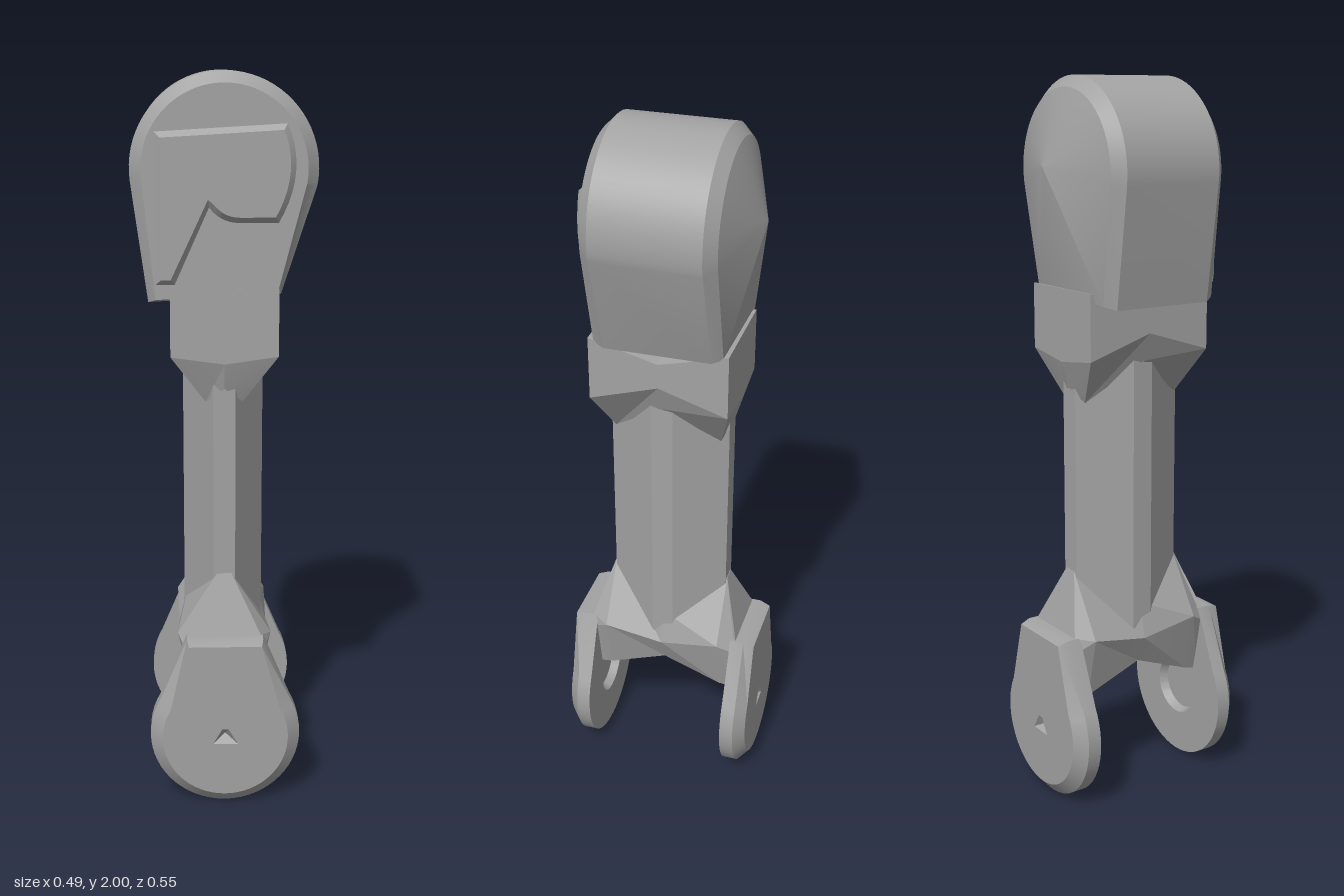
import * as THREE from 'three';
import { toCreasedNormals } from 'three/addons/utils/BufferGeometryUtils.js';

const metal = new THREE.MeshStandardMaterial({ color: 0xa3a3a3 });
metal.name = 'grey metal';

// Joins equal-sized rings of points and closes both ends onto an apex point.
function loft(rings, startApex, endApex, crease = 0.5) {
  const pos = [];
  const tri = (a, b, c) => pos.push(...a, ...b, ...c);
  const n = rings[0].length;
  for (let i = 0; i < n; i++) {
    const j = (i + 1) % n;
    for (let k = 0; k < rings.length - 1; k++) {
      const a = rings[k], b = rings[k + 1];
      tri(a[i], a[j], b[j]);
      tri(a[i], b[j], b[i]);
    }
    const last = rings[rings.length - 1];
    tri(startApex, rings[0][j], rings[0][i]);
    tri(endApex, last[i], last[j]);
  }
  const g = new THREE.BufferGeometry();
  g.setAttribute('position', new THREE.Float32BufferAttribute(pos, 3));
  return toCreasedNormals(g, crease);
}

// Arc (degrees, counter-clockwise) followed by extra corner points, at depth z.
function outline(cy, r, from, to, corners, z) {
  const pts = [];
  for (let i = 0; i <= 40; i++) {
    const a = THREE.MathUtils.degToRad(from + (to - from) * i / 40);
    pts.push([r * Math.cos(a), cy + r * Math.sin(a), z]);
  }
  return pts.concat(corners.map(([x, y]) => [x, y, z]));
}

function part(name, geometry) {
  const m = new THREE.Mesh(geometry, metal);
  m.name = name;
  return m;
}

// Tapered head with chamfered rims and a pointed back
function makeHead() {
  const rim = z => outline(1.755, 0.245, -10, 187, [[-0.2, 1.41], [0.15, 1.43]], z);
  const face = z => outline(1.755, 0.215, -10, 187, [[-0.18, 1.42], [0.14, 1.44]], z);
  return part('head', loft([face(-0.175), rim(-0.145), rim(0.145), face(0.175)],
    [0, 1.77, -0.245], [0, 1.75, 0.175], 0.4));
}

// Raised, notched plate on the front of the head
function makeHeadPlate() {
  const s = new THREE.Shape();
  s.moveTo(-0.18, 1.85);
  s.lineTo(-0.18, 1.46);
  s.lineTo(-0.13, 1.46);
  s.lineTo(-0.04, 1.66);
  s.quadraticCurveTo(-0.01, 1.62, 0.04, 1.62);
  s.lineTo(0.14, 1.62);
  s.quadraticCurveTo(0.215, 1.75, 0.16, 1.87);
  s.closePath();
  const g = new THREE.ExtrudeGeometry(s, {
    depth: 0.015, bevelEnabled: true, bevelThickness: 0.015, bevelSize: 0.015,
    bevelOffset: -0.015, bevelSegments: 1, curveSegments: 10,
  });
  g.translate(0, 0, 0.165);
  return part('headPlate', toCreasedNormals(g, 0.4));
}

// Collar below the head: each ring is corner, side middle, front middle heights
function makeCollar() {
  const ring = (a, b, yCorner, ySide, yFront, side = a, front = b) => [
    [side, ySide, 0], [a, yCorner, -b], [0, yFront, -front], [-a, yCorner, -b],
    [-side, ySide, 0], [-a, yCorner, b], [0, yFront, front], [a, yCorner, b],
  ];
  return part('collar', loft([
    ring(0.05, 0.15, 1.14, 1.25, 1.18, 0.112, 0.172),
    ring(0.143, 0.19, 1.27, 1.33, 1.25),
    ring(0.143, 0.19, 1.45, 1.4, 1.45),
  ], [0, 1.25, 0], [0, 1.42, 0], 0.15));
}

// Eight-sided shaft
function makeShaft() {
  const s = new THREE.Shape([
    [0.11, -0.03], [0.11, 0.03], [0.03, 0.168], [-0.03, 0.168],
    [-0.11, 0.03], [-0.11, -0.03], [-0.03, -0.168], [0.03, -0.168],
  ].map(([x, y]) => new THREE.Vector2(x, y)));
  const g = new THREE.ExtrudeGeometry(s, { depth: 0.86, bevelEnabled: false });
  g.rotateX(-Math.PI / 2);
  g.translate(0, 0.47, 0);
  return part('shaft', g);
}

// Saddle-shaped fork carrying the two discs
function makeFork() {
  const ring = (z, top, yTop, mid, yMid, low, yLow) => [
    [top, yTop, z], [-top, yTop, z], [-mid, yMid, z],
    [-low, yLow, z], [low, yLow, z], [mid, yMid, z],
  ];
  const tip = z => ring(z, 0.1, 0.49, 0.11, 0.45, 0.08, 0.29);
  const peak = z => ring(z, 0.02, 0.655, 0.13, 0.48, 0.09, 0.305);
  const middle = ring(0, 0.1, 0.55, 0.125, 0.45, 0.09, 0.37);
  return part('fork', loft([tip(-0.22), peak(-0.17), middle, peak(0.17), tip(0.22)],
    [0, 0.39, -0.22], [0, 0.39, 0.22], 0.15));
}

// Disc with an upper tab, a triangular dimple outside and a round recess inside
function makeDisc(name) {
  const cy = 0.208;
  const rim = z => outline(cy, 0.208, 150, 390, [[0.105, 0.49], [-0.105, 0.49]], z);
  const face = outline(cy, 0.174, 150, 390, [[0.1, 0.48], [-0.1, 0.48]], 0.275);
  const centred = (z, radius) => rim(z).map(([x, y]) => {
    const a = Math.atan2(y - cy, x), r = radius(a);
    return [r * Math.cos(a), cy + r * Math.sin(a), z];
  });
  const third = Math.PI * 2 / 3;
  const triangle = a => 0.02 / Math.cos(((a - Math.PI / 2 + 4 * third) % third) - third / 2);
  return part(name, loft([
    centred(0.23, () => 0.075), centred(0.205, () => 0.085),
    rim(0.205), rim(0.245), face, centred(0.275, triangle),
  ], [0, cy, 0.23], [0, cy, 0.245], 0.4));
}

export function createModel() {
  const model = new THREE.Group();
  model.name = 'armLink';
  const backDisc = makeDisc('backDisc');
  backDisc.rotation.y = Math.PI;
  model.add(makeHead(), makeHeadPlate(), makeCollar(), makeShaft(), makeFork(),
    makeDisc('frontDisc'), backDisc);
  return model;
}
